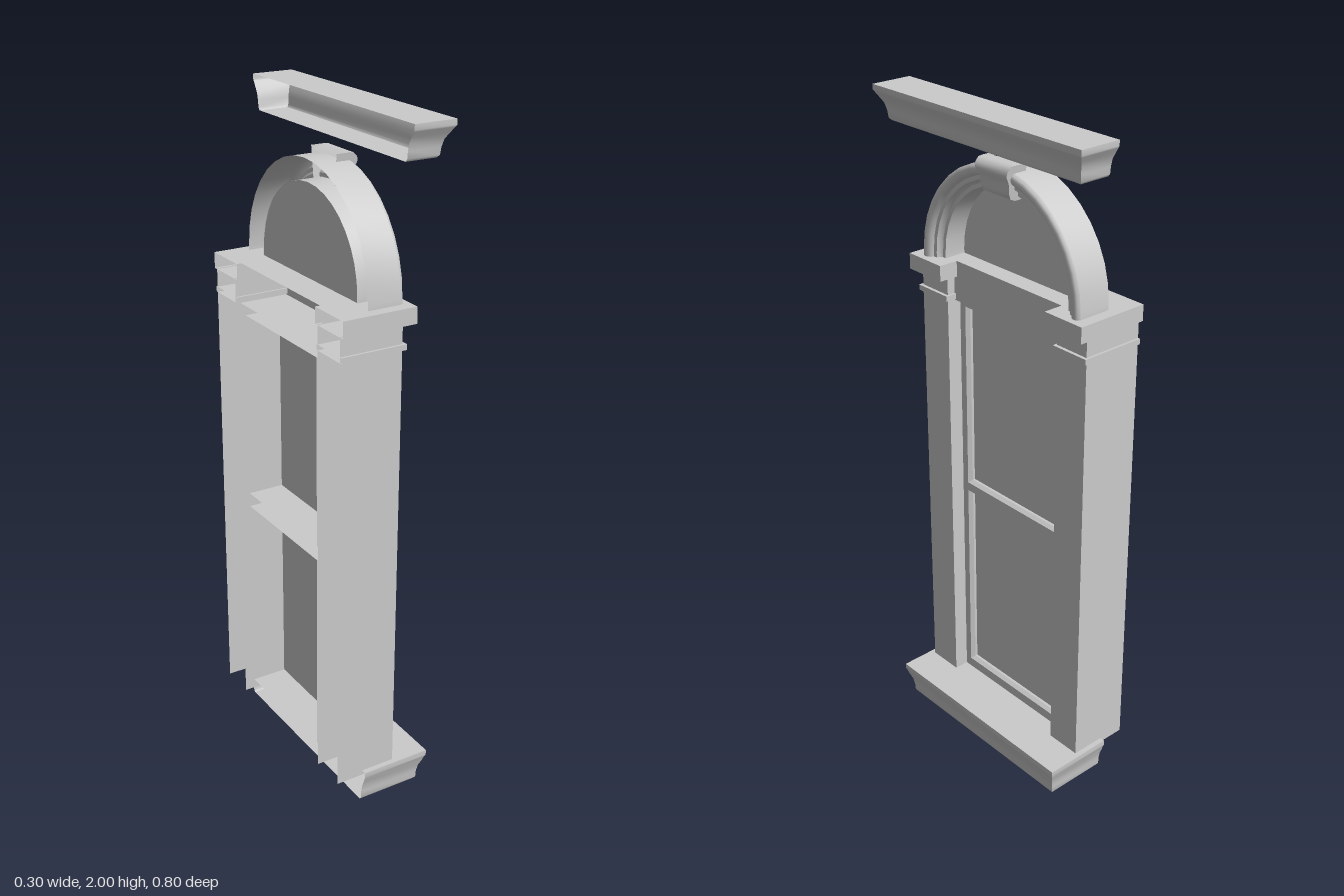
import * as THREE from 'three';
import { mergeGeometries } from 'three/addons/utils/BufferGeometryUtils.js';

const material = new THREE.MeshStandardMaterial({ color: 0xcccccc, side: THREE.DoubleSide });

// Smooth surface through rows of [x, y, z] points
function sheet(rows) {
  const n = rows[0].length, index = [];
  for (let i = 0; i < rows.length - 1; i++) {
    for (let j = 0; j < n - 1; j++) {
      const a = i * n + j, b = a + n;
      index.push(a, b, a + 1, b, b + 1, a + 1);
    }
  }
  const g = new THREE.BufferGeometry();
  g.setAttribute('position', new THREE.Float32BufferAttribute(rows.flat(2), 3));
  g.setIndex(index);
  g.computeVertexNormals();
  return g;
}

// Box from min to max, without its back (-x) and, for shafts, without top and bottom
function openBox(x0, x1, y0, y1, z0, z1, shaft = false) {
  const g = new THREE.BoxGeometry(x1 - x0, y1 - y0, z1 - z0);
  g.translate((x0 + x1) / 2, (y0 + y1) / 2, (z0 + z1) / 2);
  const faces = shaft ? [0, 4, 5] : [0, 2, 3, 4, 5];
  const all = Array.from(g.index.array);
  g.setIndex(faces.flatMap((f) => all.slice(f * 6, f * 6 + 6)));
  g.deleteAttribute('uv');
  return g;
}

// Moulded ledge: a profile of [projection, y] returned around three sides
function ledge(back, front, half, profile) {
  const at = (o, y) => [[back, y, half + o], [front + o, y, half + o], [front + o, y, -half - o], [back, y, -half - o]];
  const rows = profile.map(([o, y]) => at(o, y));
  const strips = [0, 1, 2].map((k) => sheet(rows.map((r) => [r[k], r[k + 1]])));
  const caps = [rows[0], rows[rows.length - 1]].map((r) => sheet([[r[0], r[1]], [r[3], r[2]]]));
  return mergeGeometries([...strips, ...caps]);
}

// Round-headed path of radius r, from springing to springing
const BASE = 1.52, SPRING = 1.535, STEPS = 18;
function archPath(r, x) {
  const pts = [[x, BASE, r]];
  for (let i = 0; i <= STEPS; i++) {
    const a = (Math.PI * i) / STEPS;
    pts.push([x, SPRING + r * Math.sin(a), r * Math.cos(a)]);
  }
  pts.push([x, BASE, -r]);
  return pts;
}

export function createModel() {
  const group = new THREE.Group();
  const add = (name, geometry) => {
    const m = new THREE.Mesh(geometry, material);
    m.name = name;
    group.add(m);
  };

  // Sill and the hood cornice above
  add('sill', ledge(-0.07, 0.125, 0.33, [
    [-0.006, 0], [0, 0.008], [0.001, 0.03], [0.005, 0.052], [0.013, 0.072], [0.018, 0.088], [0.021, 0.093], [0.021, 0.11],
  ]));
  add('hoodCornice', ledge(0.01, 0.107, 0.372, [
    [-0.006, 1.903], [0, 1.91], [0.002, 1.93], [0.007, 1.95], [0.017, 1.967], [0.025, 1.98], [0.028, 1.985], [0.028, 2],
  ]));

  // Pilasters with necking and capital
  for (const s of [1, -1]) {
    const side = s > 0 ? 'left' : 'right';
    const box = (x1, y0, y1, a, b, shaft) =>
      openBox(-0.155, x1, y0, y1, Math.min(s * a, s * b), Math.max(s * a, s * b), shaft);
    add(side + 'Pilaster', box(0.035, 0.095, 1.475, 0.225, 0.335, true));
    add(side + 'Necking', box(0.045, 1.404, 1.42, 0.219, 0.342));
    add(side + 'Capital', box(0.07, 1.473, 1.52, 0.213, 0.349));
  }

  // Lintel between the capitals
  add('lintel', openBox(-0.14, 0.01, 1.4, 1.52, -0.225, 0.225));

  // Sash frame: front face with two openings, each with bevelled, deep reveals
  const rect = (h, y0, y1) => [[-h, y0], [h, y0], [h, y1], [-h, y1]];
  const toVec = (p) => p.map(([z, y]) => new THREE.Vector2(-z, y));
  const face = new THREE.Shape(toVec(rect(0.225, 0.11, 1.4)));
  const openings = [[0.14, 0.775], [0.802, 1.38]];
  const reveals = [];
  openings.forEach(([y0, y1], i) => {
    face.holes.push(new THREE.Path(toVec(rect(0.203, y0, y1))));
    const loops = [[0, -0.01], [0.008, -0.022], [0.008, -0.14]].map(([d, x]) =>
      rect(0.203 - d, y0 + d, y1 - d).map(([z, y]) => [x, y, z]));
    for (let k = 0; k < 4; k++) {
      for (let j = 0; j < 2; j++) {
        const n = (k + 1) % 4;
        reveals.push(sheet([[loops[j][k], loops[j][n]], [loops[j + 1][k], loops[j + 1][n]]]));
      }
    }
    const pane = new THREE.PlaneGeometry(0.39, y1 - y0 - 0.016);
    pane.rotateY(Math.PI / 2).translate(-0.03, (y0 + y1) / 2, 0);
    add(i ? 'upperPane' : 'lowerPane', pane);
  });
  add('sashFrame', new THREE.ShapeGeometry(face).rotateY(Math.PI / 2).translate(-0.01, 0, 0));
  add('sashReveals', mergeGeometries(reveals));

  // Moulded arch, hollow at the back; each list of [radius, x] is one smooth band
  const bands = [
    [[0.315, -0.06], [0.315, 0.04]],
    [[0.315, 0.04], [0.311, 0.048], [0.303, 0.051], [0.293, 0.05], [0.285, 0.044], [0.282, 0.035]],
    [[0.282, 0.035], [0.27, 0.035]],
    [[0.27, 0.035], [0.267, 0.025], [0.26, 0.02]],
    [[0.26, 0.02], [0.249, 0.02]],
    [[0.249, 0.02], [0.249, -0.05]],
  ];
  add('arch', mergeGeometries(bands.map((b) => sheet(b.map(([r, x]) => archPath(r, x))))));

  // Panel filling the arch
  const panel = new THREE.Shape(archPath(0.249, 0).map(([, y, z]) => new THREE.Vector2(-z, y)));
  add('tympanum', new THREE.ShapeGeometry(panel).rotateY(Math.PI / 2).translate(-0.048, 0, 0));

  // Scrolled keystone, tapering downwards
  const scroll = [
    [0, 1.855], [0.035, 1.864], [0.052, 1.863], [0.064, 1.852], [0.066, 1.838],
    [0.06, 1.825], [0.054, 1.812], [0.052, 1.79], [0.046, 1.774], [0.03, 1.766], [-0.045, 1.766],
  ];
  const width = (y) => 0.052 + (y - 1.766) * 0.13;
  const edge = (s) => scroll.map(([x, y]) => [x, y, s * width(y)]);
  const cheek = (s) => sheet([edge(s), edge(s).map(([x, y, z]) => [Math.min(x, 0), y, z])]);
  add('keystone', mergeGeometries([sheet([edge(1), edge(-1)]), cheek(1), cheek(-1)]));

  return group;
}
